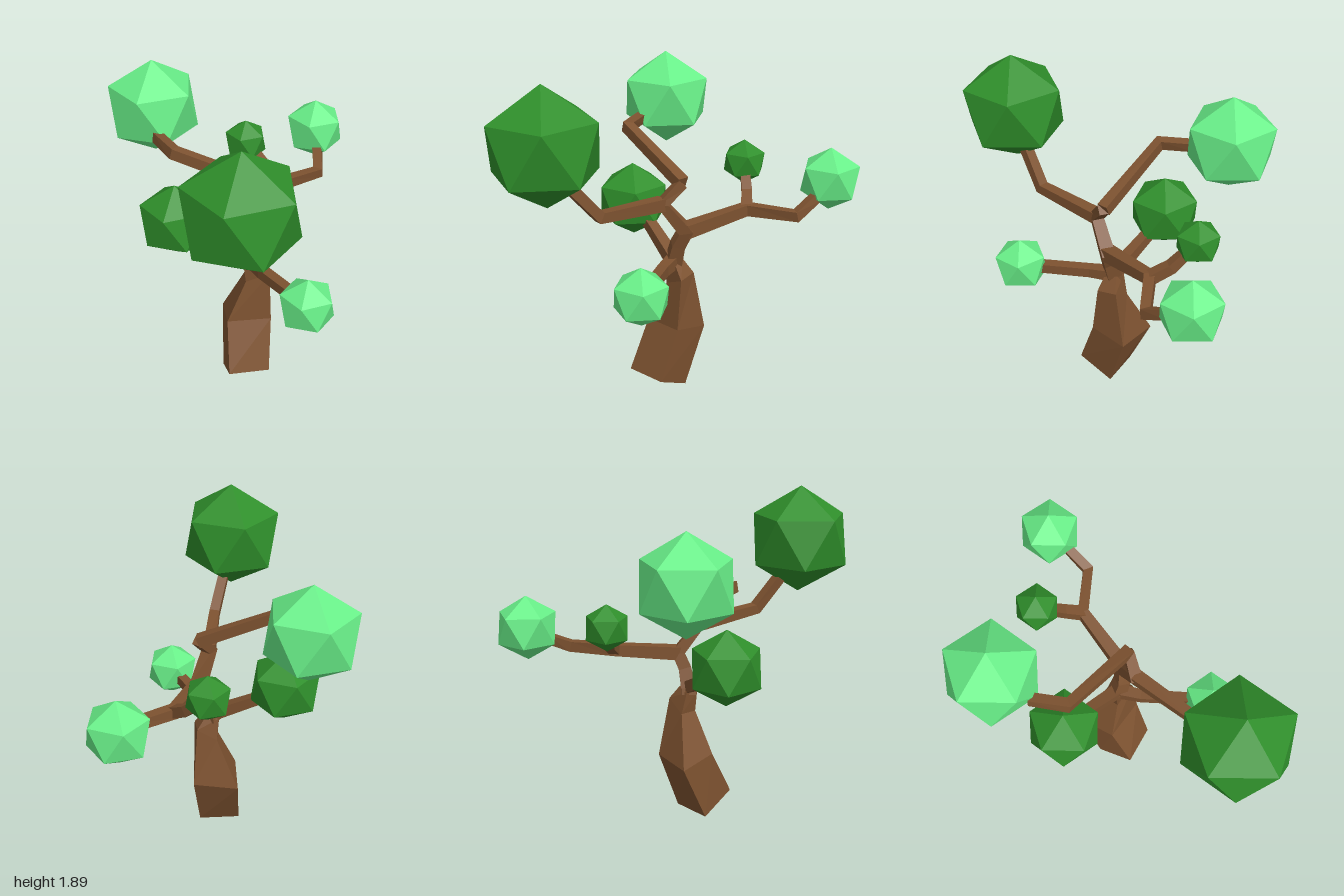
import * as THREE from 'three';

const material = (color) => new THREE.MeshStandardMaterial({ color, flatShading: true });
const bark = material(0x7d5230);
const darkLeaf = material(0x2f8f2b);
const lightLeaf = material(0x68ee88);

// Closed four-sided loft; corners run anticlockwise about the direction of growth
function loft(rings) {
  const index = [0, 2, 1, 0, 3, 2];
  for (let i = 0; i < rings.length - 1; i++) {
    for (let j = 0; j < 4; j++) {
      const a = i * 4 + j, b = i * 4 + (j + 1) % 4;
      index.push(a, b, b + 4, a, b + 4, a + 4);
    }
  }
  const n = (rings.length - 1) * 4;
  index.push(n, n + 1, n + 2, n, n + 2, n + 3);
  const geometry = new THREE.BufferGeometry();
  geometry.setAttribute('position', new THREE.Float32BufferAttribute(rings.flat(2), 3));
  geometry.setIndex(index);
  const flat = geometry.toNonIndexed();
  flat.computeVertexNormals();
  return flat;
}

// Square rings along a bent path, each facing the average direction of its joint
function squareRings(path, radii, ref) {
  const points = path.map((p) => new THREE.Vector3(...p));
  const dirs = points.slice(1).map((p, i) => p.clone().sub(points[i]).normalize());
  let side = null;
  return points.map((p, i) => {
    const t = dirs[Math.max(i - 1, 0)].clone().add(dirs[Math.min(i, dirs.length - 1)]).normalize();
    if (!side) side = new THREE.Vector3().crossVectors(t, ref);
    side.addScaledVector(t, -side.dot(t)).normalize();
    const up = new THREE.Vector3().crossVectors(t, side);
    return [0, 1, 2, 3].map((j) => {
      const a = (j + 0.5) * Math.PI / 2;
      return p.clone().addScaledVector(side, Math.cos(a) * radii[i])
        .addScaledVector(up, Math.sin(a) * radii[i]).toArray();
    });
  });
}

export function createModel() {
  const tree = new THREE.Group();
  tree.name = 'tree';
  const add = (name, geometry, mat) => {
    const mesh = new THREE.Mesh(geometry, mat);
    mesh.name = name;
    tree.add(mesh);
    return mesh;
  };
  const branch = (name, path, radii, ref = new THREE.Vector3(0, 1, 0)) =>
    add(name, loft(squareRings(path, radii, ref)), bark);

  // Thick bent trunk: front, right, back and left corner of each ring
  add('trunk', loft([
    [[0.15, 0.105, 0.315], [0.32, 0.105, 0.155], [0.18, 0, 0], [0, 0, 0.16]],
    [[0.06, 0.38, 0.2], [0.265, 0.4, 0.055], [0.13, 0.35, -0.115], [-0.09, 0.335, 0.03]],
    [[0.12, 0.63, 0.1], [0.235, 0.69, 0.03], [0.15, 0.7, -0.05], [0.06, 0.63, 0.02]],
    [[0.11, 0.75, 0.11], [0.18, 0.77, 0.06], [0.13, 0.78, 0.01], [0.07, 0.76, 0.05]],
  ]), bark);

  // Branch joints
  const low = [0.13, 0.77, 0.06], mid = [0.18, 0.97, 0], high = [0.2, 1.14, 0.13];
  const crown = [0.19, 1.25, 0.02], rear = [0.05, 1.03, -0.36];

  branch('upperStem', [[0.12, 0.73, 0.06], low, [0.16, 0.88, 0.04], mid, high, crown],
    [0.06, 0.06, 0.052, 0.055, 0.048, 0.04], new THREE.Vector3(0, 0, 1));
  branch('frontBranch', [high, [0.43, 1.17, 0.47], [0.48, 1.37, 0.63]], [0.05, 0.042, 0.04]);
  branch('rightHighBranch', [crown, [-0.22, 1.45, 0.28], [-0.4, 1.45, 0.19]], [0.045, 0.042, 0.038]);
  branch('rightLowBranch', [low, [-0.08, 0.89, 0.16], [-0.22, 0.97, 0.23]], [0.05, 0.042, 0.04]);
  branch('leftLowBranch', [low, [0.25, 0.77, 0.13], [0.55, 0.79, 0.25]], [0.05, 0.042, 0.04]);
  branch('rearBranch', [mid, rear, [0.16, 1.02, -0.62], [0.07, 1.1, -0.76]],
    [0.055, 0.046, 0.042, 0.038]);
  branch('rearTwig', [rear, [-0.06, 1.09, -0.38], [-0.17, 1.19, -0.385]], [0.045, 0.042, 0.036]);

  // Foliage balls, each with a corner pointing straight up
  const ball = new THREE.IcosahedronGeometry(1, 0);
  ball.rotateZ(-Math.atan(2 / (1 + Math.sqrt(5))));
  [
    ['frontFoliage', 0.505, 1.575, 0.73, 0.315, darkLeaf],
    ['rightHighFoliage', -0.545, 1.532, 0.03, 0.273, lightLeaf],
    ['rightLowFoliage', -0.247, 1.008, 0.255, 0.217, darkLeaf],
    ['leftLowFoliage', 0.62, 0.8, 0.28, 0.163, lightLeaf],
    ['rearTwigFoliage', -0.205, 1.225, -0.387, 0.131, darkLeaf],
    ['rearFoliage', 0, 1.172, -0.843, 0.183, lightLeaf],
  ].forEach(([name, x, y, z, r, mat]) => {
    const mesh = add(name, ball, mat);
    mesh.position.set(x, y, z);
    mesh.scale.setScalar(r);
  });
  return tree;
}
